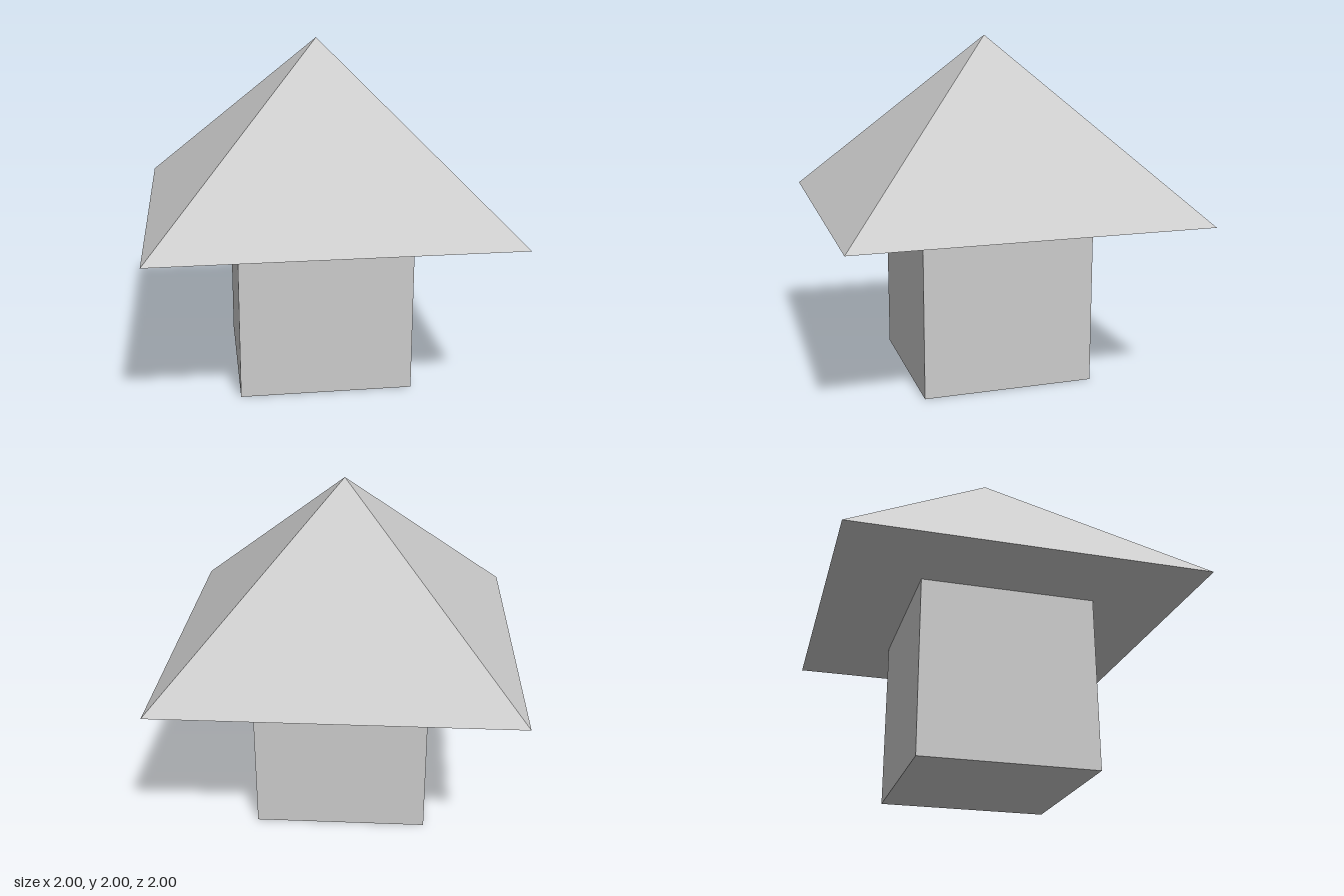
import * as THREE from 'three';

export function createModel() {
  const model = new THREE.Group();
  model.name = 'house';
  const material = new THREE.MeshStandardMaterial({ color: 0xcccccc, flatShading: true });

  // Cube-shaped body standing on the ground
  const walls = new THREE.Mesh(new THREE.BoxGeometry(1, 1, 1), material);
  walls.name = 'walls';
  walls.position.y = 0.5;
  model.add(walls);

  // Square pyramid roof: a four-sided cone turned so its edges follow x and z
  const roofGeometry = new THREE.ConeGeometry(Math.SQRT2, 1, 4).rotateY(Math.PI / 4);
  const roof = new THREE.Mesh(roofGeometry, material);
  roof.name = 'roof';
  roof.position.y = 1.5;
  model.add(roof);

  return model;
}
